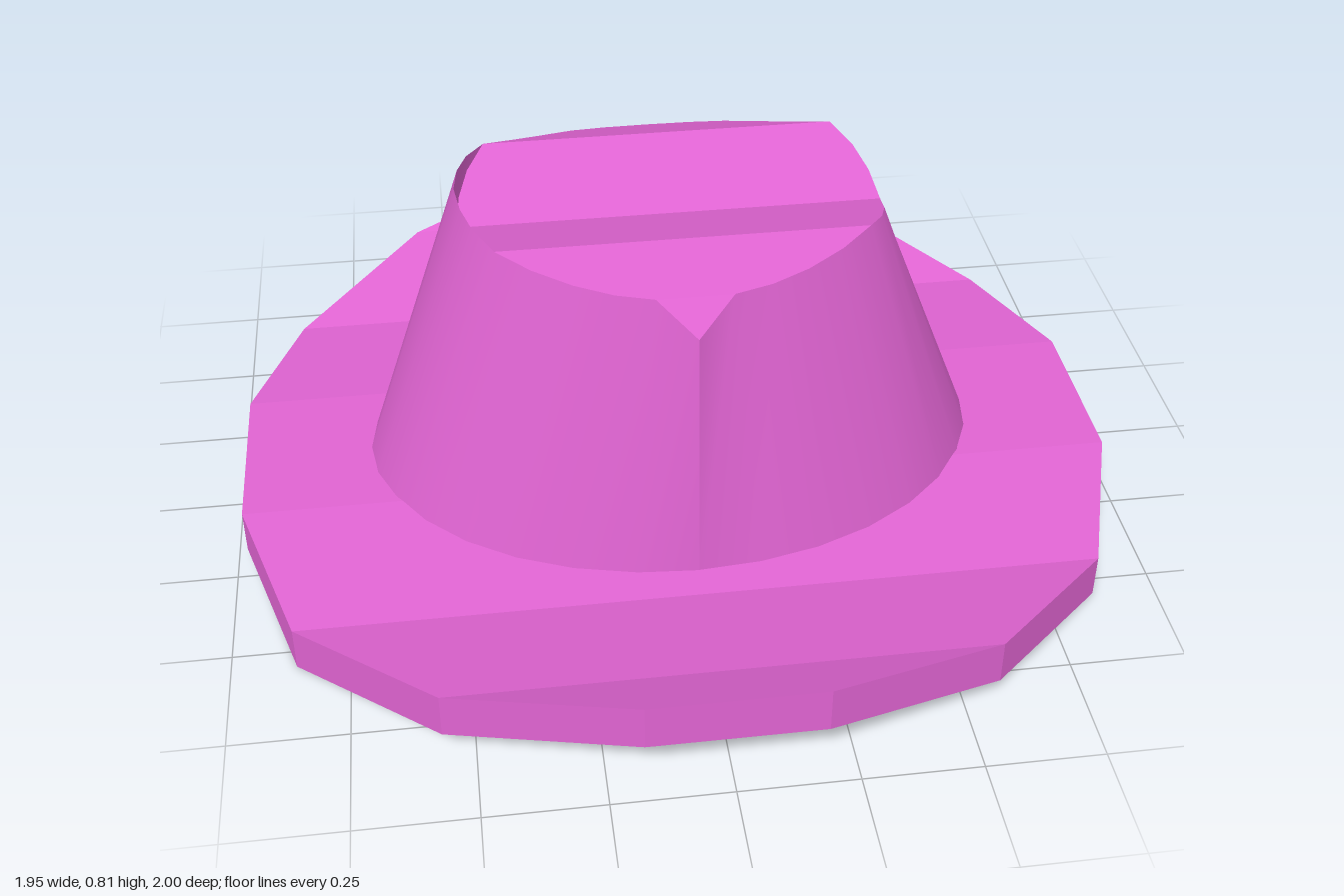
import * as THREE from 'three';

const pink = 0xe064d2;

// Skin a list of rows (cross-sections); closed rows wrap round and get end caps
function skin(name, rows, { closed = false, flat = true, side = THREE.FrontSide } = {}) {
  const n = rows[0].length, last = (rows.length - 1) * n, index = [];
  for (let i = 0; i < rows.length - 1; i++) {
    for (let j = 0; j < (closed ? n : n - 1); j++) {
      const k = (j + 1) % n;
      const a = i * n + j, b = a + n, c = (i + 1) * n + k, d = i * n + k;
      index.push(a, b, c, a, c, d);
    }
  }
  if (closed) {
    index.push(0, 1, 2, 0, 2, 3);
    index.push(last, last + 2, last + 1, last, last + 3, last + 2);
  }
  const geometry = new THREE.BufferGeometry();
  geometry.setAttribute('position', new THREE.Float32BufferAttribute(rows.flat(2), 3));
  geometry.setIndex(index);
  geometry.computeVertexNormals();
  const mesh = new THREE.Mesh(geometry, new THREE.MeshStandardMaterial({ color: pink, flatShading: flat, side }));
  mesh.name = name;
  return mesh;
}

// Linear interpolation through [position, height] points
function heightAt(points, z) {
  for (let i = 1; i < points.length; i++) {
    const [z0, y0] = points[i - 1], [z1, y1] = points[i];
    if (z <= z1) return y0 + (y1 - y0) * (z - z0) / (z1 - z0);
  }
  return points[points.length - 1][1];
}

export function createModel() {
  const hat = new THREE.Group();
  hat.name = 'hat';

  // Brim: 16-sided slab bent up at front and back; [z, half width, underside]
  const half = [[1, 0.18, 0.152], [0.845, 0.565, 0.075], [0.545, 0.863, 0], [0.2, 0.977, 0.036]];
  const stations = [...half, ...half.map(([z, w, y]) => [-z, w, y]).reverse()];
  const t = 0.102;
  hat.add(skin('brim', stations.map(([z, w, y]) => [
    [-w, y, z], [w, y, z], [w, y + t, z], [-w, y + t, z],
  ]), { closed: true }));

  // Crown rim on the left half, front to back, as [x, z]
  const rim = [
    [0, 0.44], [0.08, 0.385], [0.16, 0.365], [0.24, 0.33], [0.32, 0.28], [0.39, 0.22],
    [0.43, 0.15], [0.452, 0.08], [0.462, 0], [0.452, -0.08], [0.43, -0.15], [0.39, -0.22],
    [0.32, -0.275], [0.27, -0.32], [0.18, -0.41], [0.1, -0.438], [0, -0.445],
  ];
  // Creased top: valley along x with a ridge on either side
  const crease = [[-0.445, 0.685], [-0.22, 0.79], [0, 0.715], [0.22, 0.79], [0.385, 0.757], [0.44, 0.69]];
  hat.add(skin('crownTop', rim.map(([x, z]) => {
    const y = heightAt(crease, z);
    return [[x, y, z], [-x, y, z]];
  }), { side: THREE.DoubleSide }));

  // Crown wall: oval base drawn up to the rim, standing proud at the -x end
  const steps = 2 * (rim.length - 1);
  const wall = [];
  for (let i = 0; i <= steps; i++) {
    const mirrored = i >= rim.length;
    const [rx, z] = rim[mirrored ? steps - i : i];
    const a = (i / steps) * Math.PI * 2;
    let y = heightAt(crease, z);
    if (mirrored && Math.abs(z) <= 0.22) y = Math.max(y, 0.812 - 0.022 * (z / 0.22) ** 2);
    wall.push([
      [0.705 * Math.sin(a), 0.1, 0.478 * Math.cos(a)],
      [mirrored ? -rx : rx, y, z],
    ]);
  }
  hat.add(skin('crownWall', wall, { flat: false, side: THREE.DoubleSide }));

  return hat;
}
